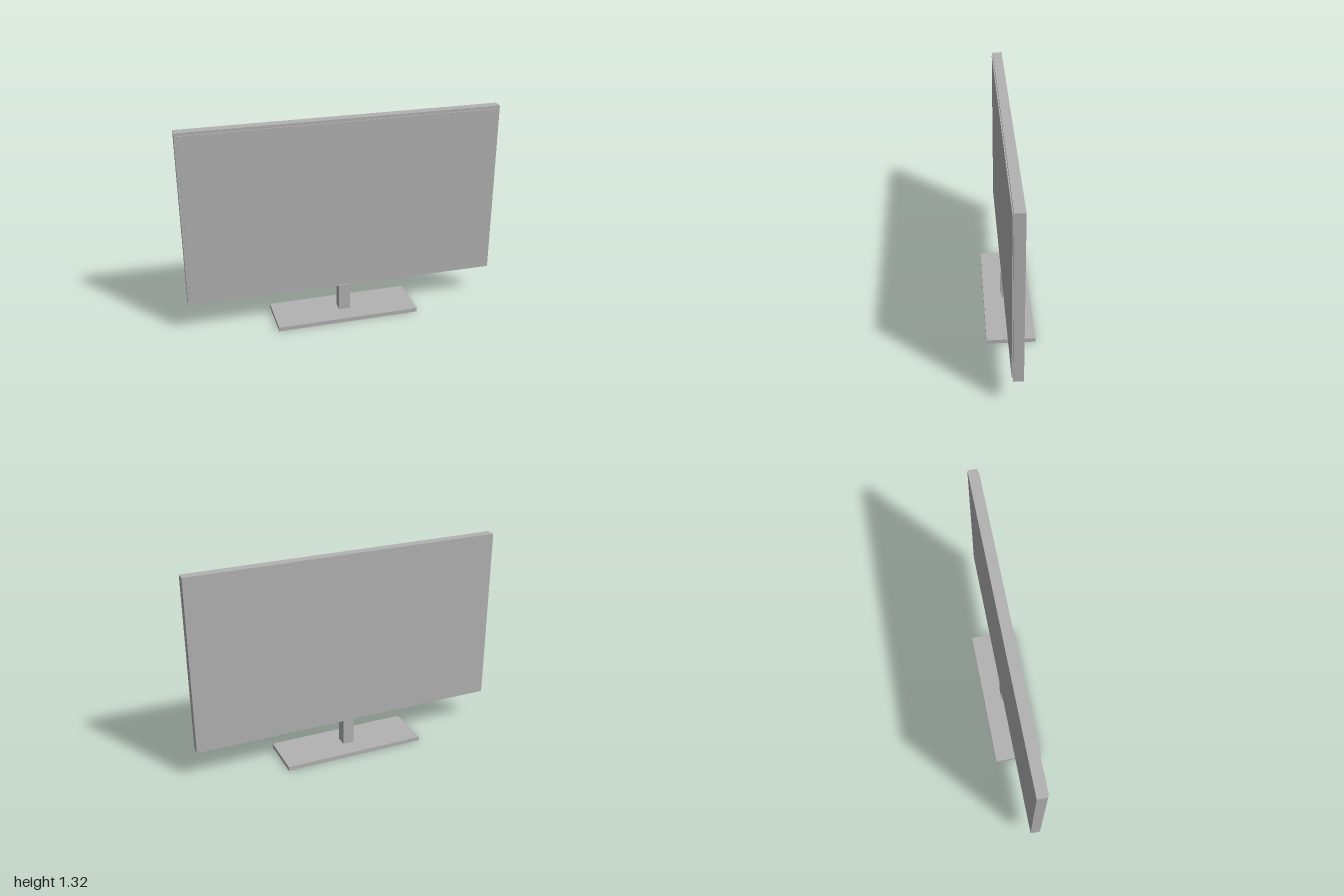
import * as THREE from 'three';

export function createModel() {
  const group = new THREE.Group();
  const grey = new THREE.MeshStandardMaterial({ color: 0xb2b2b2 });
  grey.name = 'grey';

  // Box given by its extents on each axis
  function box(name, [x0, x1], [y0, y1], [z0, z1]) {
    const mesh = new THREE.Mesh(new THREE.BoxGeometry(x1 - x0, y1 - y0, z1 - z0), grey);
    mesh.position.set((x0 + x1) / 2, (y0 + y1) / 2, (z0 + z1) / 2);
    mesh.name = name;
    group.add(mesh);
  }

  // Stand: flat foot and square post, the post lipping over the panel's lower edge
  box('standBase', [-0.459, 0.459], [0, 0.027], [-0.153, 0.153]);
  box('standPost', [-0.036, 0.036], [0.027, 0.205], [-0.034, 0.036]);

  // Display: housing with a slightly raised screen
  box('housing', [-1, 1], [0.198, 1.323], [-0.034, 0.027]);
  box('screen', [-0.982, 0.982], [0.213, 1.305], [0.027, 0.034]);

  // Small indicator in the lower corner of the bezel
  box('indicator', [0.964, 0.976], [0.203, 0.207], [0.027, 0.031]);

  return group;
}
